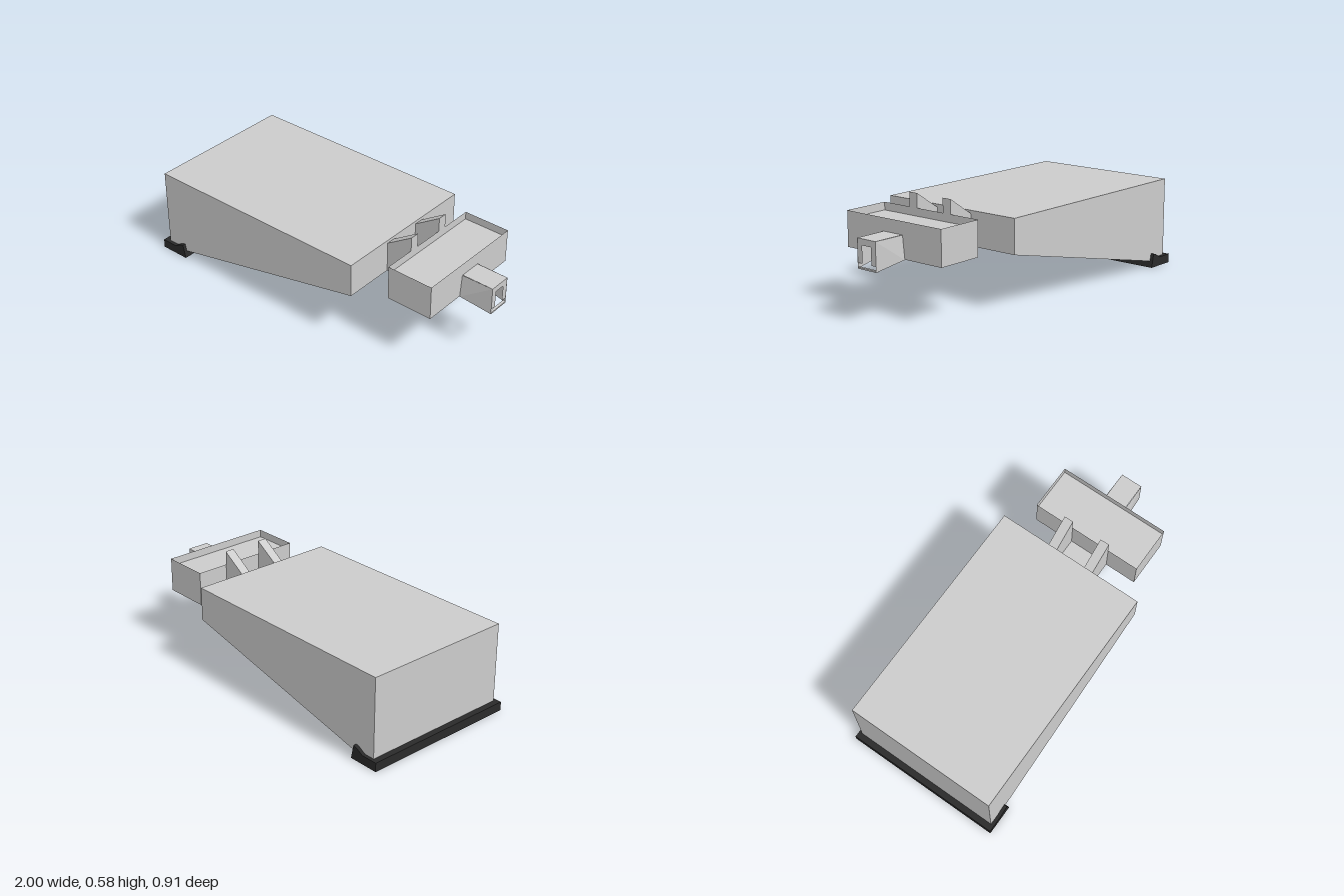
import * as THREE from 'three';

const grey = new THREE.MeshStandardMaterial({ color: 0xcccccc, flatShading: true });
const thin = new THREE.MeshStandardMaterial({ color: 0xcccccc, flatShading: true, side: THREE.DoubleSide });
const black = new THREE.MeshStandardMaterial({ color: 0x2a2a2a, flatShading: true });

// Side profile (x, y) extruded across z, centred on zMid
function slab(name, points, width, zMid = 0, material = grey) {
  const shape = new THREE.Shape(points.map(([x, y]) => new THREE.Vector2(x, y)));
  const geo = new THREE.ExtrudeGeometry(shape, { depth: width, bevelEnabled: false });
  geo.translate(0, 0, zMid - width / 2);
  const mesh = new THREE.Mesh(geo, material);
  mesh.name = name;
  return mesh;
}

function box(name, x0, x1, y0, y1, z0, z1) {
  const geo = new THREE.BoxGeometry(x1 - x0, y1 - y0, z1 - z0);
  geo.translate((x0 + x1) / 2, (y0 + y1) / 2, (z0 + z1) / 2);
  const mesh = new THREE.Mesh(geo, grey);
  mesh.name = name;
  return mesh;
}

// Thin four-cornered panel
function panel(name, corners) {
  const geo = new THREE.BufferGeometry();
  geo.setAttribute('position', new THREE.Float32BufferAttribute(corners.flat(), 3));
  geo.setIndex([0, 1, 2, 0, 2, 3]);
  geo.computeVertexNormals();
  const mesh = new THREE.Mesh(geo, thin);
  mesh.name = name;
  return mesh;
}

export function createModel() {
  const model = new THREE.Group();
  model.name = 'wedgeStock';

  // Wedge body and dark end pad
  model.add(slab('body', [[-0.965, 0.006], [0.392, 0.31], [0.392, 0.5], [-0.965, 0.5]], 0.874));
  model.add(slab('endPad', [[-1, 0], [-0.825, 0], [-0.842, 0.08], [-0.865, 0.073],
    [-0.905, 0.05], [-1, 0.05]], 0.912, 0, black));

  // Neck: floor plate and two sloping fins
  model.add(box('neckFloor', 0.392, 0.545, 0.31, 0.325, -0.09, 0.09));
  for (const side of [-1, 1]) {
    model.add(slab('neckFin', [[0.392, 0.31], [0.545, 0.31], [0.545, 0.583], [0.392, 0.483]],
      0.054, side * 0.117));
  }

  // Crossbar tray with a shallow recess and thin rim
  const tray = new THREE.Group();
  tray.name = 'tray';
  const [a, b, w, low, high] = [0.545, 0.815, 0.328, 0.46, 0.504];
  tray.add(box('trayBase', a, b, 0.31, low, -w, w));
  const rim = [[a, -w], [a, w], [b, w], [b, -w]];
  rim.forEach(([x0, z0], i) => {
    const [x1, z1] = rim[(i + 1) % 4];
    tray.add(panel('trayRim', [[x0, low, z0], [x1, low, z1], [x1, high, z1], [x0, high, z0]]));
  });
  model.add(tray);

  // Hollow flared nozzle, open underneath
  const nozzle = new THREE.Group();
  nozzle.name = 'nozzle';
  const top = 0.434;
  nozzle.add(panel('nozzleTop', [[0.815, top, 0.064], [1, top, 0.064], [1, top, -0.064], [0.815, top, -0.064]]));
  for (const s of [-1, 1]) {
    nozzle.add(panel('nozzleSide', [[0.815, 0.308, s * 0.08], [1, 0.277, s * 0.064],
      [1, top, s * 0.064], [0.815, top, s * 0.066]]));
  }
  nozzle.add(box('nozzleLip', 0.985, 1, 0.277, 0.285, -0.064, 0.064));

  // End frame around the opening
  const frame = new THREE.Shape([[-0.064, 0.307], [-0.031, 0.307], [-0.031, 0.4], [0.031, 0.4],
    [0.031, 0.307], [0.064, 0.307], [0.064, top], [-0.064, top]].map(([z, y]) => new THREE.Vector2(z, y)));
  const frameGeo = new THREE.ShapeGeometry(frame);
  frameGeo.rotateY(Math.PI / 2).translate(0.999, 0, 0);
  const frameMesh = new THREE.Mesh(frameGeo, thin);
  frameMesh.name = 'nozzleFrame';
  nozzle.add(frameMesh);
  model.add(nozzle);

  return model;
}
